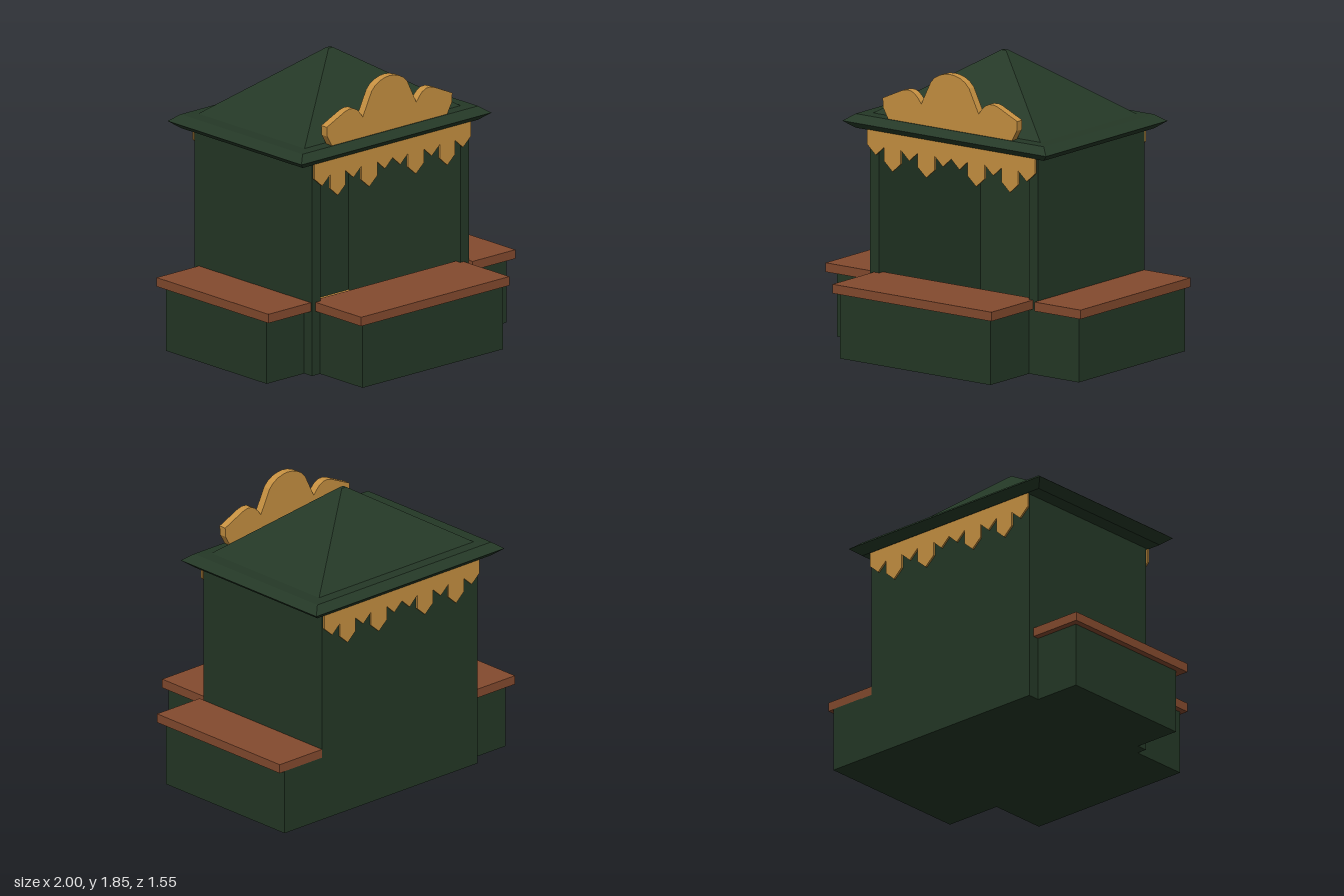
import * as THREE from 'three';

const mat = (name, color) => {
  const m = new THREE.MeshStandardMaterial({ color });
  m.name = name;
  return m;
};

// Stack of rectangles [halfX, halfZ, y] joined by flat faces and capped at both ends
function rectLoft(rings) {
  const pos = [];
  const corners = ([hx, hz, y]) => [[-hx, y, hz], [hx, y, hz], [hx, y, -hz], [-hx, y, -hz]];
  const quad = (a, b, c, d) => pos.push(...a, ...b, ...c, ...a, ...c, ...d);
  for (let i = 0; i < rings.length - 1; i++) {
    const lo = corners(rings[i]), hi = corners(rings[i + 1]);
    for (let k = 0; k < 4; k++) {
      const n = (k + 1) % 4;
      quad(lo[k], lo[n], hi[n], hi[k]);
    }
  }
  const [a, b, c, d] = corners(rings[0]);
  quad(d, c, b, a);
  quad(...corners(rings[rings.length - 1]));
  const g = new THREE.BufferGeometry();
  g.setAttribute('position', new THREE.Float32BufferAttribute(pos, 3));
  g.computeVertexNormals();
  return g;
}

export function createModel() {
  const green = mat('dark green paint', 0x243826);
  const brown = mat('brown wood', 0x844a2e);
  const gold = mat('golden wood', 0xc79141);
  const model = new THREE.Group();
  model.name = 'marketStall';

  const add = (name, geometry, material, parent = model) => {
    const mesh = new THREE.Mesh(geometry, material);
    mesh.name = name;
    parent.add(mesh);
    return mesh;
  };
  // Box given by its limits on each axis
  const box = (name, material, [x0, x1], [y0, y1], [z0, z1]) => {
    const mesh = add(name, new THREE.BoxGeometry(x1 - x0, y1 - y0, z1 - z0), material);
    mesh.position.set((x0 + x1) / 2, (y0 + y1) / 2, (z0 + z1) / 2);
    return mesh;
  };

  // Booth walls, open at the front
  box('leftWall', green, [0.577, 0.647], [0, 1.36], [-0.7, 0.36]);
  box('rightWall', green, [-0.65, -0.58], [0, 1.36], [-0.7, 0.36]);
  box('backWall', green, [-0.58, 0.577], [0, 1.36], [-0.7, -0.65]);
  box('floorBase', green, [-0.58, 0.577], [0, 0.05], [-0.65, 0.36]);
  box('floorBoards', gold, [-0.58, 0.577], [0.05, 0.057], [-0.65, 0.355]);

  // Counters: a green cabinet under a brown top
  box('frontCabinet', green, [-0.583, 0.577], [0, 0.41], [0.355, 0.745]);
  box('frontCounterTop', brown, [-0.62, 0.605], [0.408, 0.465], [0.32, 0.772]);
  box('leftCabinet', green, [0.647, 0.96], [0, 0.41], [-0.7, 0.36]);
  box('leftCounterTop', brown, [0.645, 1], [0.408, 0.465], [-0.7, 0.395]);
  box('rightCabinet', green, [-0.96, -0.65], [0, 0.41], [-0.62, 0.29]);
  box('rightCounterTop', brown, [-1, -0.648], [0.41, 0.467], [-0.66, 0.35]);

  // Hipped roof with bevelled eaves
  const roof = add('roof', rectLoft([
    [0.725, 0.55, 1.355],
    [0.785, 0.605, 1.4],
    [0.725, 0.55, 1.443],
    [0.645, 0.48, 1.446],
    [0.018, 0.012, 1.845],
  ]), green);
  roof.position.set(-0.02, 0, -0.17);

  // Pennant valance: pointed tabs, short and long
  const edges = [0, 0.127, 0.258, 0.389, 0.516, 0.648];
  const longTabs = [false, false, true, false, true, false].slice(1);
  const valance = (name, z) => {
    const group = new THREE.Group();
    group.name = name;
    group.position.set(-0.005, 0, z);
    for (const side of [-1, 1]) {
      longTabs.forEach((long, i) => {
        const a = Math.min(side * edges[i], side * edges[i + 1]);
        const b = Math.max(side * edges[i], side * edges[i + 1]);
        const shoulder = long ? 1.177 : 1.265;
        const tip = long ? 1.12 : 1.207;
        const s = new THREE.Shape([
          new THREE.Vector2(a, 1.36), new THREE.Vector2(a, shoulder),
          new THREE.Vector2((a + b) / 2, tip),
          new THREE.Vector2(b, shoulder), new THREE.Vector2(b, 1.36),
        ]);
        add('pennant', new THREE.ExtrudeGeometry(s, { depth: 0.012, bevelEnabled: false }), gold, group);
      });
    }
    model.add(group);
  };
  valance('frontValance', 0.373);
  valance('backValance', -0.717);

  // Scalloped crest board above the front eave, mirrored about its middle
  const half = [
    [0.475, 1.44], [0.515, 1.51], [0.519, 1.57], [0.37, 1.638], [0.335, 1.647],
    [0.3, 1.645], [0.27, 1.63], [0.245, 1.605], [0.221, 1.574], [0.148, 1.722],
    [0.118, 1.754], [0.08, 1.775], [0.04, 1.787],
  ];
  const outline = [
    ...half, [0, 1.791],
    ...half.slice().reverse().map(([x, y]) => [-x, y]),
  ].map(([x, y]) => new THREE.Vector2(x, y));
  const crest = add('crestBoard',
    new THREE.ExtrudeGeometry(new THREE.Shape(outline), { depth: 0.05, bevelEnabled: false }), gold);
  crest.position.set(-0.022, 0, 0.325);

  return model;
}
